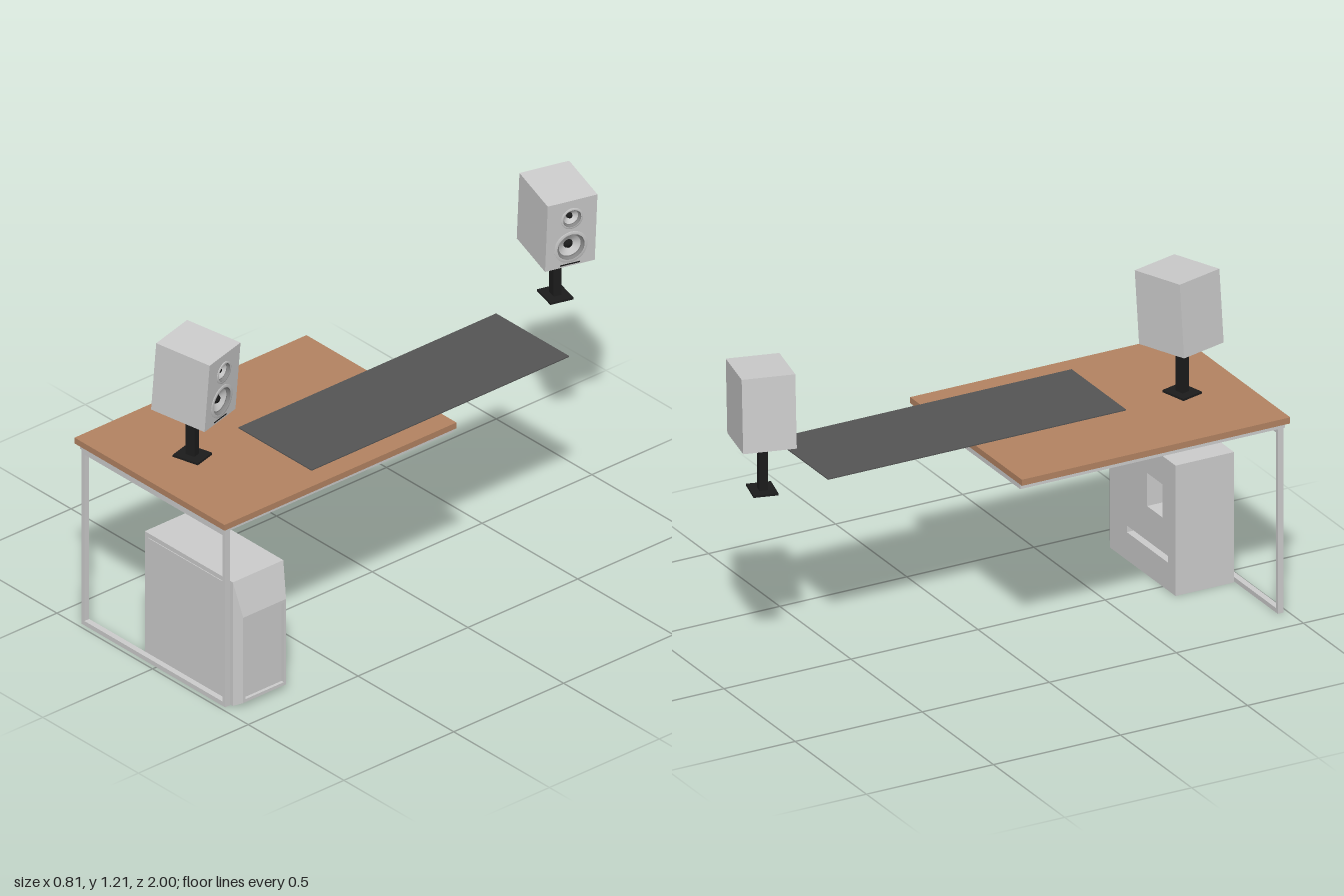
import * as THREE from 'three';

const mat = (name, color, side = THREE.FrontSide) => {
  const m = new THREE.MeshStandardMaterial({ color, side });
  m.name = name;
  return m;
};

function mesh(name, geometry, material, parent, x = 0, y = 0, z = 0) {
  const m = new THREE.Mesh(geometry, material);
  m.name = name;
  m.position.set(x, y, z);
  parent.add(m);
  return m;
}

// Box given by its limits on each axis
function block(name, material, parent, [x0, x1], [y0, y1], [z0, z1]) {
  return mesh(name, new THREE.BoxGeometry(x1 - x0, y1 - y0, z1 - z0), material, parent,
    (x0 + x1) / 2, (y0 + y1) / 2, (z0 + z1) / 2);
}

// Rectangle outline, counter-clockwise
function rect(x0, x1, y0, y1, Type = THREE.Shape) {
  const p = [[x0, y0], [x1, y0], [x1, y1], [x0, y1]].map(([x, y]) => new THREE.Vector2(x, y));
  return new Type(p);
}

const extrude = (shape, depth) =>
  new THREE.ExtrudeGeometry(shape, { depth, bevelEnabled: false, curveSegments: 32 });

// Faceted loft through rectangular rings facing +x, capped at the last ring
function rectLoft(rings) {
  const pts = rings.map(([x, z0, z1, y0, y1]) =>
    [[x, y0, z1], [x, y0, z0], [x, y1, z0], [x, y1, z1]]);
  const out = [];
  const quad = (a, b, c, d) => out.push(...a, ...b, ...c, ...a, ...c, ...d);
  for (let r = 0; r < pts.length - 1; r++) {
    for (let i = 0; i < 4; i++) {
      const j = (i + 1) % 4;
      quad(pts[r][i], pts[r][j], pts[r + 1][j], pts[r + 1][i]);
    }
  }
  quad(...pts[pts.length - 1]);
  const g = new THREE.BufferGeometry();
  g.setAttribute('position', new THREE.Float32BufferAttribute(out, 3));
  g.computeVertexNormals();
  return g;
}

export function createModel() {
  const grey = mat('light grey', 0xcccccc);
  const greyThin = mat('light grey shell', 0xcccccc, THREE.DoubleSide);
  const midGrey = mat('mid grey', 0x858585, THREE.DoubleSide);
  const black = mat('black', 0x1c1c1c);
  const wood = mat('wood', 0xb38362);
  const charcoal = mat('charcoal', 0x555555);

  const model = new THREE.Group();
  model.name = 'deskSetup';

  // Desk: wooden top, support panel, closed leg frame
  const desk = new THREE.Group();
  desk.name = 'desk';
  model.add(desk);
  block('deskTop', wood, desk, [-0.408, 0.376], [0.717, 0.74], [-0.056, 1]);
  block('supportPanel', grey, desk, [-0.393, 0.362], [0.698, 0.717], [-0.054, 0.988]);
  const frame = rect(-0.39, 0.36, 0, 0.698);
  frame.holes.push(rect(-0.376, 0.346, 0.017, 0.68, THREE.Path));
  mesh('legFrame', extrude(frame, 0.022), grey, desk, 0, 0, 0.961);

  // Long mat reaching past the back edge
  block('deskMat', charcoal, model, [-0.085, 0.297], [0.741, 0.745], [-0.638, 0.535]);

  // Computer case: body, pierced side and tapered nose with recessed panel
  const tower = new THREE.Group();
  tower.name = 'computerCase';
  model.add(tower);
  block('caseBody', grey, tower, [-0.09, 0.37], [0, 0.492], [0.8, 0.957]);
  block('sidePanel', grey, tower, [-0.07, 0.35], [0.018, 0.475], [0.957, 0.96]);
  const side = rect(-0.09, 0.37, 0, 0.492);
  side.holes.push(rect(0, 0.11, 0.26, 0.385, THREE.Path));
  side.holes.push(rect(-0.037, 0.252, 0.105, 0.13, THREE.Path));
  mesh('piercedSide', extrude(side, 0.073), grey, tower, 0, 0, 0.727);
  mesh('caseNose', rectLoft([
    [0.37, 0.727, 0.957, 0, 0.492],
    [0.405, 0.745, 0.94, 0.02, 0.36],
    [0.405, 0.755, 0.93, 0.032, 0.348],
    [0.393, 0.755, 0.93, 0.032, 0.348],
  ]), grey, tower);

  // Speakers on stands, toed in towards each other
  const D = 0.222, H = 0.272, W = 0.19, BAFFLE = 0.03;
  const drivers = [
    { name: 'tweeter', y: 0.062, r: 0.042 },
    { name: 'woofer', y: -0.056, r: 0.063 },
  ];

  // Driver profile radii are fractions of r, heights run along the axis
  function addDriver(parent, { name, y, r }) {
    const g = new THREE.Group();
    g.name = name;
    g.position.set(D / 2, y, 0);
    g.rotation.z = -Math.PI / 2;
    parent.add(g);
    const lathe = (part, material, pts) => mesh(part, new THREE.LatheGeometry(
      pts.map(([a, h]) => new THREE.Vector2(a * r, h)), 36), material, g);
    lathe(name + 'Rim', greyThin, [[1, 0], [1, 0.003], [0.82, 0.003]]);
    lathe(name + 'Surround', midGrey, [[0.82, 0.003], [0.78, -0.008], [0.66, -0.008]]);
    lathe(name + 'Cone', greyThin, [[0.66, -0.008], [0.26, -0.022]]);
    lathe(name + 'Cap', black, [[0.28, -0.022], [0.2, -0.013], [0, -0.01]]);
  }

  for (const [label, z, yaw] of [['front', 0.775, 1], ['back', -0.877, -1]]) {
    const speaker = new THREE.Group();
    speaker.name = label + 'Speaker';
    speaker.position.set(-0.05, 0, z);
    speaker.rotation.y = yaw * THREE.MathUtils.degToRad(15);
    model.add(speaker);

    // Stand
    mesh('standBase', new THREE.BoxGeometry(0.104, 0.008, 0.088), black, speaker, 0, 0.744, 0);
    mesh('standPole', new THREE.BoxGeometry(0.036, 0.177, 0.03), black, speaker, 0, 0.8345, 0);

    // Cabinet pitched slightly downwards
    const cabinet = new THREE.Group();
    cabinet.name = 'cabinet';
    cabinet.position.set(0.014, 1.062, 0);
    cabinet.rotation.z = -0.078;
    speaker.add(cabinet);
    block('cabinetBody', grey, cabinet, [-D / 2, D / 2 - BAFFLE], [-H / 2, H / 2], [-W / 2, W / 2]);
    const face = rect(-W / 2, W / 2, -H / 2, H / 2);
    for (const d of drivers) {
      face.holes.push(new THREE.Path().absarc(0, d.y, d.r * 0.9, 0, Math.PI * 2, true));
    }
    const baffle = mesh('baffle', extrude(face, BAFFLE), grey, cabinet, D / 2 - BAFFLE);
    baffle.rotation.y = Math.PI / 2;
    drivers.forEach((d) => addDriver(cabinet, d));
    mesh('portSlot', new THREE.BoxGeometry(0.002, 0.005, 0.075), black, cabinet, D / 2, -0.127, 0);
    mesh('mountPlate', new THREE.BoxGeometry(0.17, 0.006, 0.125), grey, cabinet, -0.01, -H / 2 - 0.003, 0);
  }
  return model;
}
